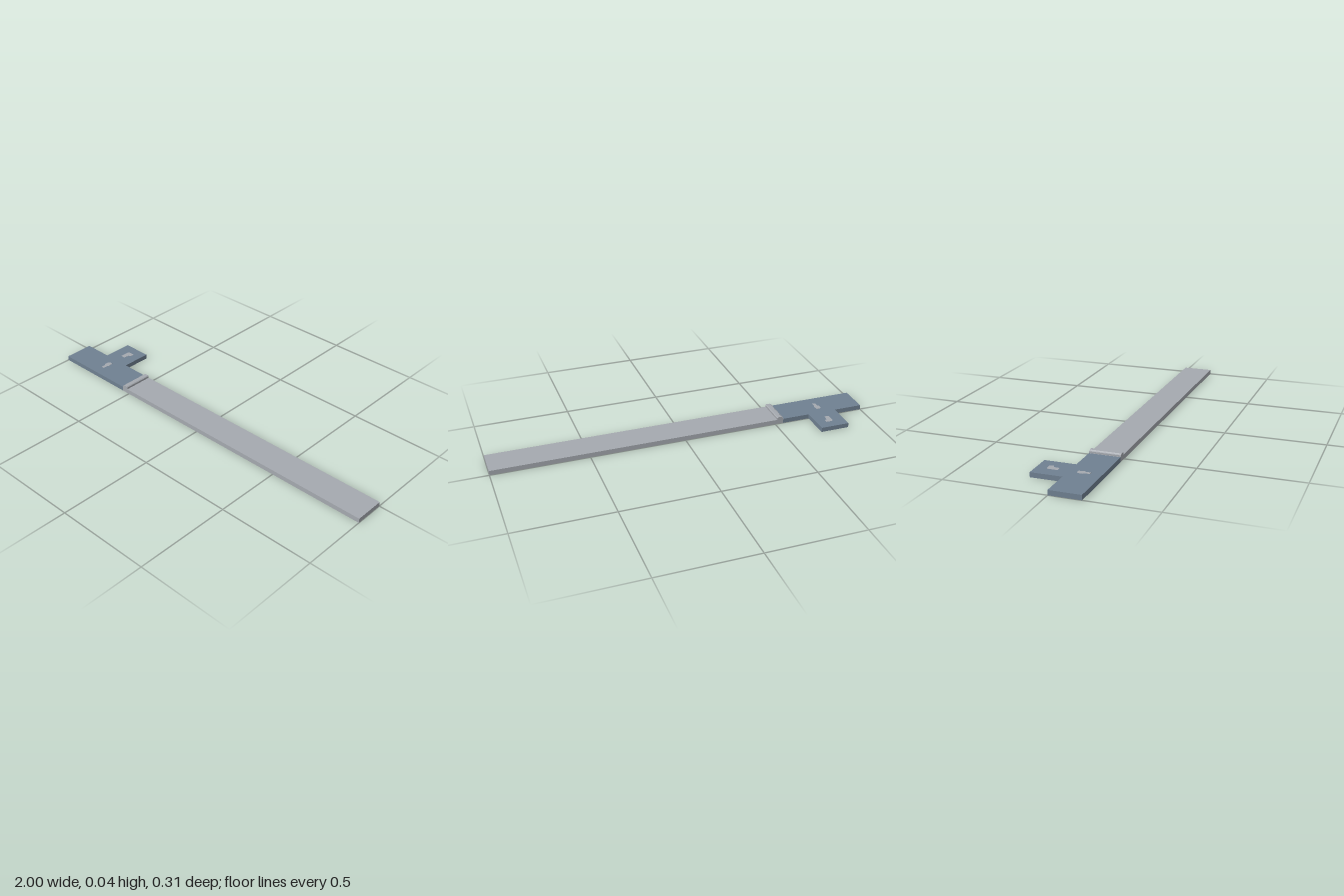
import * as THREE from 'three';

const H = 0.024; // plate thickness

export function createModel() {
  const group = new THREE.Group();
  const blue = new THREE.MeshStandardMaterial({ name: 'slate blue', color: 0x6f8091 });
  const grey = new THREE.MeshStandardMaterial({ name: 'light grey', color: 0xa5a9af });

  const add = (name, geometry, material) => {
    const mesh = new THREE.Mesh(geometry, material);
    mesh.name = name;
    group.add(mesh);
    return mesh;
  };
  const outline = pts => new THREE.Shape(pts.map(([x, y]) => new THREE.Vector2(x, y)));

  // Extrude a plan outline given as [x, z] upward from height y
  const slab = (name, pts, y, height, material) => {
    const geo = new THREE.ExtrudeGeometry(outline(pts.map(([x, z]) => [x, -z])), { depth: height, bevelEnabled: false });
    geo.rotateX(-Math.PI / 2).translate(0, y, 0);
    return add(name, geo, material);
  };

  // T-shaped end plate with a tab toward the back
  slab('endPlate', [
    [-1, 0.155], [-0.545, 0.155], [-0.545, 0], [-0.693, 0],
    [-0.693, -0.155], [-0.847, -0.155], [-0.847, 0], [-1, 0],
  ], 0, H, blue);

  // Long plain strip
  slab('longStrip', [[-0.545, 0.155], [1, 0.155], [1, 0], [-0.545, 0]], 0, H, grey);

  // Chamfered ridge across the joint
  const ridge = new THREE.ExtrudeGeometry(outline([
    [-0.543, H - 0.002], [-0.51, H - 0.002], [-0.51, 0.034], [-0.514, 0.038], [-0.534, 0.038], [-0.538, 0.034], [-0.543, 0.032],
  ]), { depth: 0.155, bevelEnabled: false });
  add('jointRidge', ridge, grey);

  // Small pale patches on the end plate
  slab('backPatch', [
    [-0.785, -0.098], [-0.775, -0.106], [-0.745, -0.106], [-0.744, -0.085], [-0.757, -0.08],
    [-0.76, -0.05], [-0.785, -0.05],
  ], H, 0.0006, grey);
  slab('frontPatch', [
    [-0.786, 0.045], [-0.775, 0.038], [-0.76, 0.04], [-0.756, 0.068], [-0.762, 0.075],
    [-0.762, 0.1], [-0.779, 0.1], [-0.78, 0.075], [-0.787, 0.068],
  ], H, 0.0006, grey);

  return group;
}
